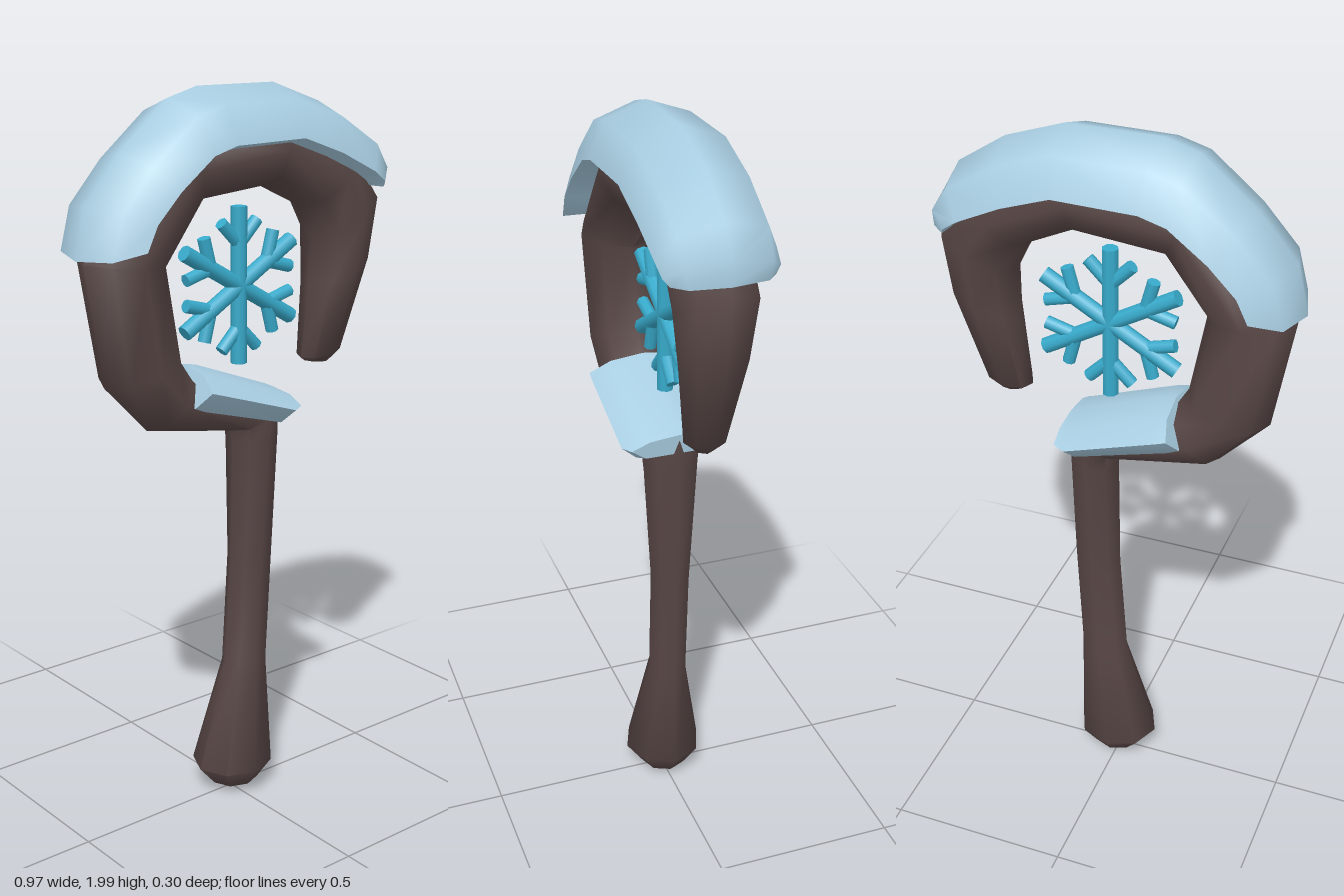
import * as THREE from 'three';
import { toCreasedNormals } from 'three/addons/utils/BufferGeometryUtils.js';

// Sweep a closed profile along rings [ax, ay, bx, by, halfDepth].
// A profile point is [u, w]: u runs from a (0) to b (1), w scales the half depth in z.
function sweep(rings, profile, crease) {
  const pos = [], idx = [], n = profile.length;
  for (const [ax, ay, bx, by, h] of rings)
    for (const [u, w] of profile) pos.push(ax + (bx - ax) * u, ay + (by - ay) * u, w * h);
  for (let i = 0; i < rings.length - 1; i++)
    for (let j = 0; j < n; j++) {
      const k = (j + 1) % n, p = i * n, q = p + n;
      idx.push(p + j, p + k, q + k, p + j, q + k, q + j);
    }
  const last = (rings.length - 1) * n;
  for (let j = 1; j < n - 1; j++) {
    idx.push(0, j + 1, j);
    idx.push(last, last + j, last + j + 1);
  }
  const g = new THREE.BufferGeometry();
  g.setAttribute('position', new THREE.Float32BufferAttribute(pos, 3));
  g.setIndex(idx);
  return toCreasedNormals(g, crease);
}

// Complete a half profile by mirroring it in z
function mirrored(half) {
  const back = half.filter(([, w]) => w > 0).reverse().map(([u, w]) => [u, -w]);
  return [...half, ...back];
}

export function createModel() {
  const group = new THREE.Group();
  const wood = new THREE.MeshStandardMaterial({ name: 'dark wood', color: 0x574645 });
  const snow = new THREE.MeshStandardMaterial({ name: 'snow', color: 0xa9cee2 });
  const ice = new THREE.MeshStandardMaterial({ name: 'ice', color: 0x38abcc });

  const add = (name, geometry, material, parent = group) => {
    const mesh = new THREE.Mesh(geometry, material);
    mesh.name = name;
    parent.add(mesh);
    return mesh;
  };

  // Staff: handle, sideways bar and hook in one sweep of octagons
  const octagon = [];
  for (let i = 0; i < 8; i++) {
    const t = (i * Math.PI) / 4;
    octagon.push([0.5 + 0.5 * Math.cos(t), Math.sin(t)]);
  }
  add('staff', sweep([
    [0.02, 0.01, -0.01, 0.01, 0.015],
    [0.08, 0.035, -0.06, 0.035, 0.065],
    [0.12, 0.095, -0.112, 0.095, 0.11],
    [0.117, 0.4, -0.022, 0.4, 0.053],
    [0.133, 0.72, 0, 0.72, 0.055],
    [0.14, 1.07, 0.005, 1.05, 0.076],
    [0.14, 1.17, 0, 1.085, 0.082],
    [-0.16, 1.28, -0.28, 1.135, 0.098],
    [-0.19, 1.33, -0.41, 1.27, 0.103],
    [-0.235, 1.57, -0.465, 1.59, 0.107],
    [-0.13, 1.715, -0.23, 1.89, 0.11],
    [0.1, 1.735, 0.12, 1.93, 0.11],
    [0.24, 1.67, 0.39, 1.82, 0.11],
    [0.28, 1.59, 0.483, 1.7, 0.11],
    [0.275, 1.45, 0.465, 1.53, 0.09],
    [0.25, 1.25, 0.38, 1.27, 0.055],
    [0.265, 1.24, 0.34, 1.232, 0.03],
  ], octagon, 1.1), wood);

  // Snow lying over the hook
  const capProfile = mirrored([[1, 0], [0.73, 0.75], [0.06, 1], [-0.04, 0.65]]);
  add('hookSnow', sweep([
    [-0.37, 1.63, -0.485, 1.6, 0.15],
    [-0.34, 1.69, -0.455, 1.73, 0.152],
    [-0.27, 1.76, -0.35, 1.85, 0.152],
    [-0.17, 1.835, -0.2, 1.975, 0.152],
    [-0.1, 1.855, -0.11, 2, 0.152],
    [0.12, 1.86, 0.14, 2, 0.152],
    [0.25, 1.815, 0.3, 1.945, 0.152],
    [0.37, 1.76, 0.43, 1.86, 0.15],
    [0.41, 1.735, 0.475, 1.78, 0.145],
    [0.42, 1.72, 0.475, 1.722, 0.13],
  ], capProfile, 1.0), snow);

  // Snow lying on the bar
  const barProfile = mirrored([[1, 0], [0.86, 0.62], [0.5, 1], [0.02, 0.7]]);
  add('barSnow', sweep([
    [-0.2, 1.2, -0.155, 1.295, 0.145],
    [-0.17, 1.187, -0.12, 1.288, 0.147],
    [0.09, 1.113, 0.12, 1.198, 0.147],
    [0.135, 1.13, 0.142, 1.188, 0.13],
  ], barProfile, 1.0), snow);

  // Snowflake hanging in the hook: six arms, each with two twigs
  const flake = new THREE.Group();
  flake.name = 'snowflake';
  flake.position.set(0.027, 1.48, 0);
  group.add(flake);
  const rod = (length) => new THREE.CylinderGeometry(0.022, 0.022, length, 8).translate(0, length / 2, 0);
  for (let i = 0; i < 6; i++) {
    const arm = new THREE.Group();
    arm.name = 'snowflakeArm';
    arm.rotation.z = (i * Math.PI) / 3;
    add('armRod', rod(0.21), ice, arm);
    for (const side of [-1, 1]) {
      const twig = add('armTwig', rod(0.085).scale(0.8, 1, 0.8), ice, arm);
      twig.position.y = 0.11;
      twig.rotation.z = (side * Math.PI) / 4;
    }
    flake.add(arm);
  }
  return group;
}
